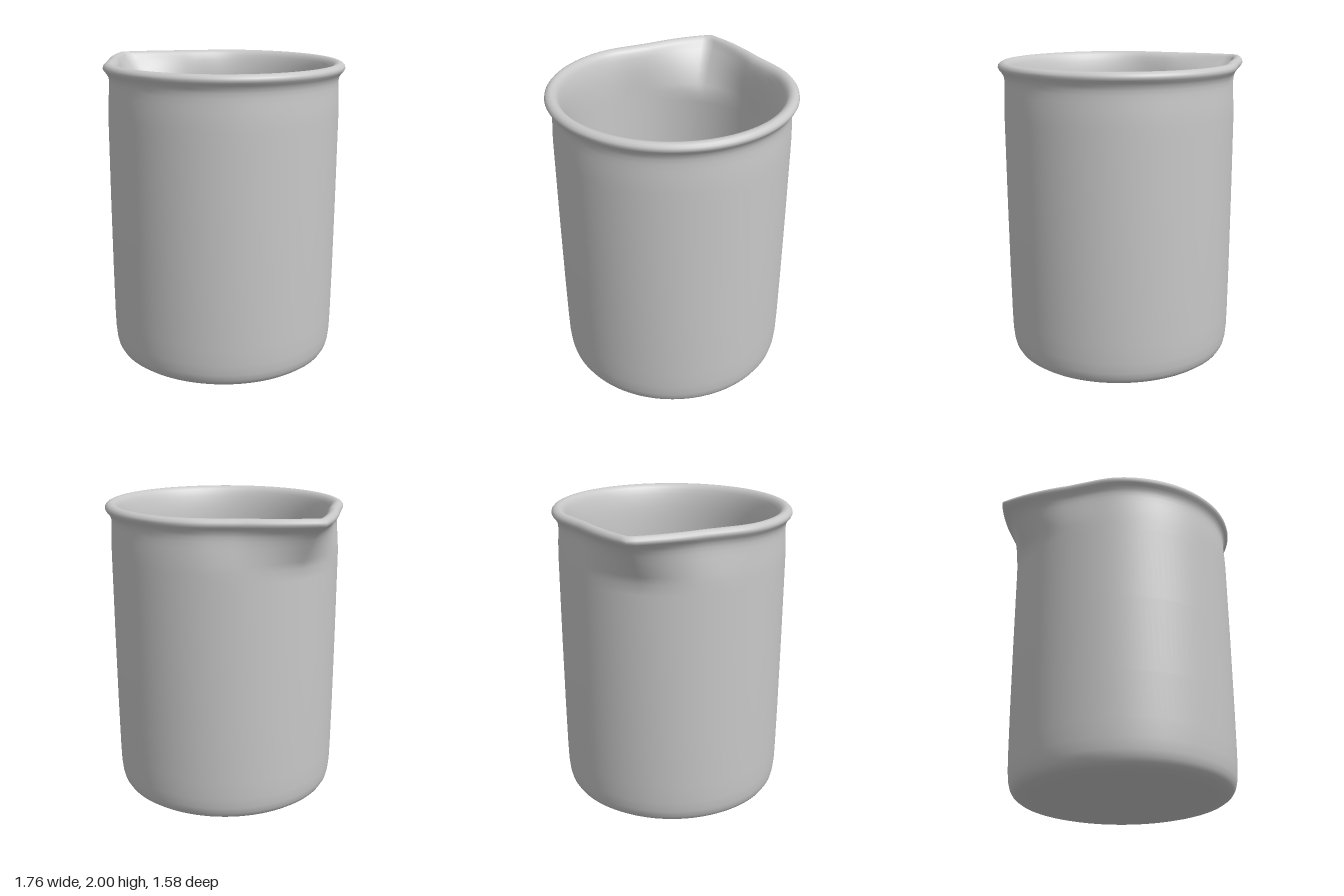
import * as THREE from 'three';
import { mergeVertices } from 'three/addons/utils/BufferGeometryUtils.js';

const AXIS_X = 0.09; // the round body sits off centre, balancing the spout

// Outer wall, rolled rim, inner wall and floor as one closed profile [radius, y]
const PROFILE = [
  [0, 0], [0.3, 0.003], [0.6, 0.01], [0.655, 0.014], [0.69, 0.024], [0.715, 0.042],
  [0.732, 0.07], [0.742, 0.11], [0.749, 0.18], [0.752, 0.3], [0.755, 0.6], [0.757, 1.1],
  [0.757, 1.6], [0.757, 1.67], [0.756, 1.72], [0.754, 1.77], [0.751, 1.82], [0.749, 1.86],
  [0.75, 1.89], [0.756, 1.915], [0.769, 1.935], [0.782, 1.95], [0.789, 1.965], [0.786, 1.98],
  [0.775, 1.992], [0.76, 1.999], [0.745, 2], [0.728, 1.994], [0.713, 1.98], [0.702, 1.96],
  [0.692, 1.93], [0.682, 1.89], [0.674, 1.84], [0.669, 1.78], [0.667, 1.72], [0.666, 1.67],
  [0.666, 1.6], [0.666, 1.0], [0.665, 0.15], [0.662, 0.11], [0.655, 0.1], [0.645, 0.098],
  [0.6, 0.098], [0, 0.098],
];

// Radial pull of the spout at a height and an angle (degrees) from its centre line
function spoutOffset(y, angle) {
  const rise = THREE.MathUtils.clamp((y - 1.67) / 0.29, 0, 1) ** 1.1;
  const lip = 0.183 * Math.max(0, 1 - angle / 32) ** 1.5;
  const flatten = 0.014 * Math.exp(-(((angle - 40) / 10) ** 2));
  return rise * (lip - flatten);
}

function beakerGeometry() {
  const points = PROFILE.map(([r, y]) => new THREE.Vector2(r, y));
  let geometry = new THREE.LatheGeometry(points, 128);
  const pos = geometry.attributes.position;
  for (let i = 0; i < pos.count; i++) {
    const x = pos.getX(i), y = pos.getY(i), z = pos.getZ(i);
    const r = Math.hypot(x, z);
    if (r < 0.01) continue;
    const angle = THREE.MathUtils.radToDeg(Math.atan2(Math.abs(z), -x));
    const scale = 1 + spoutOffset(y, angle) / r;
    pos.setXYZ(i, x * scale, y, z * scale);
  }
  // Weld the lathe seam so the normals stay smooth all round
  geometry.deleteAttribute('uv');
  geometry.deleteAttribute('normal');
  geometry = mergeVertices(geometry, 1e-5);
  geometry.computeVertexNormals();
  return geometry;
}

export function createModel() {
  const group = new THREE.Group();
  group.name = 'beaker';

  const grey = new THREE.MeshStandardMaterial({ color: 0xc8c8c8 });
  grey.name = 'light grey';

  const body = new THREE.Mesh(beakerGeometry(), grey);
  body.name = 'beakerBodyWithSpout';
  body.position.x = AXIS_X;
  group.add(body);

  return group;
}
